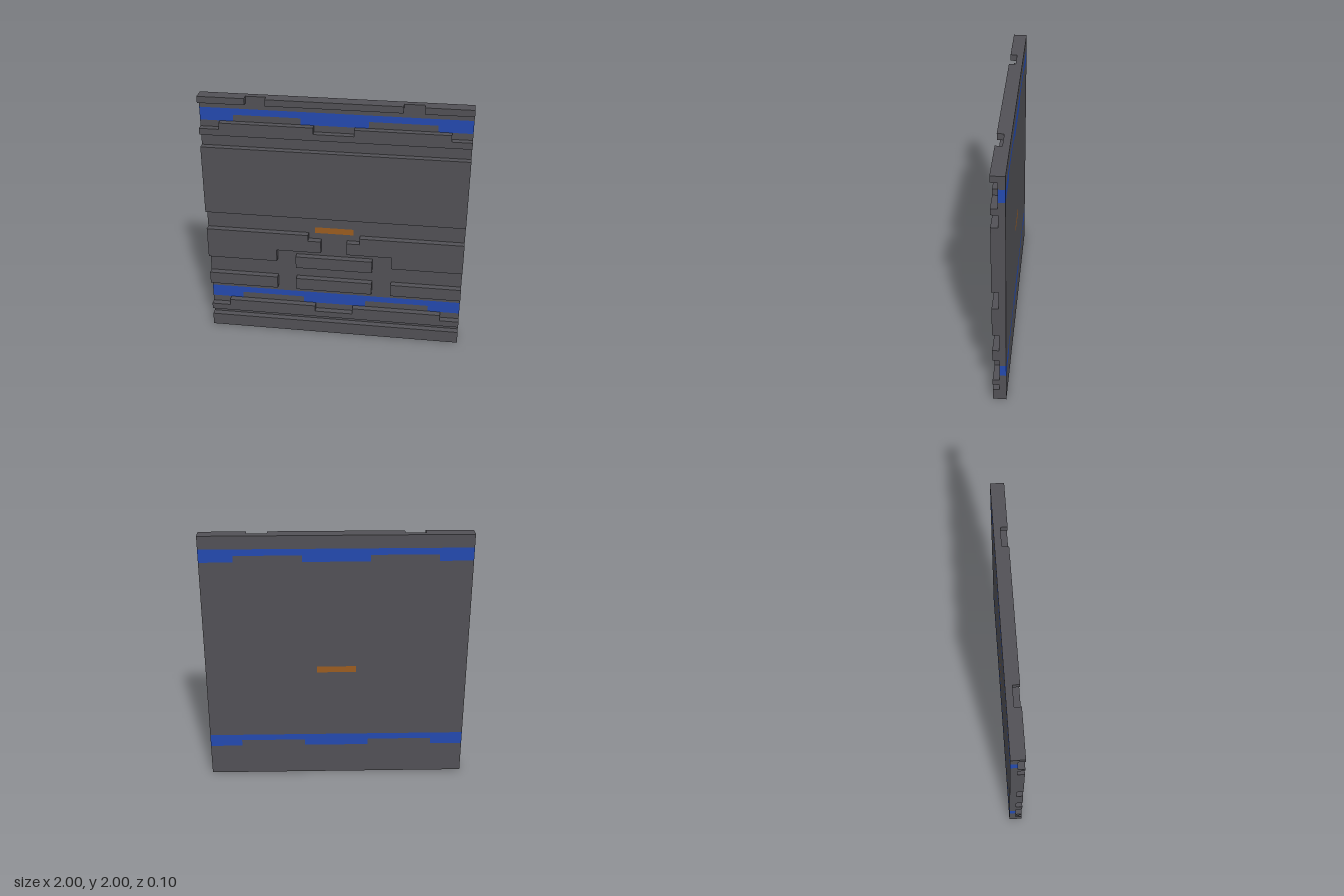
import * as THREE from 'three';

const D = 0.05; // thickness of the backing and of each raised layer

export function createModel() {
  const grey = new THREE.MeshStandardMaterial({ color: 0x525156 });
  grey.name = 'dark grey';
  const blue = new THREE.MeshStandardMaterial({ color: 0x244ab0 });
  blue.name = 'blue';
  const orange = new THREE.MeshStandardMaterial({ color: 0x9b5d20 });
  orange.name = 'orange';

  const panel = new THREE.Group();
  panel.name = 'wallPanel';

  const outline = (pts) => new THREE.Shape(pts.map(([x, y]) => new THREE.Vector2(x, y)));
  const rect = (x0, x1, y0, y1) => [[x0, y0], [x1, y0], [x1, y1], [x0, y1]];

  // Extrude an outline into a slab one layer thick, starting at depth z
  function slab(name, pts, z, material, hole) {
    const shape = outline(pts);
    if (hole) shape.holes.push(outline(hole));
    const geometry = new THREE.ExtrudeGeometry(shape, { depth: D, bevelEnabled: false });
    const mesh = new THREE.Mesh(geometry, material);
    mesh.name = name;
    mesh.position.z = z;
    panel.add(mesh);
  }
  const raised = (name, pts) => slab(name, pts, 0, grey);
  const backing = (name, pts, material, hole) => slab(name, pts, -D, material, hole);

  // Stepped edge from left to right: low at y, with two tabs reaching y + 0.05
  const tabbed = (y, inner, outer) => [
    [-1, y], [-outer, y], [-outer, y + 0.05], [-inner, y + 0.05], [-inner, y],
    [inner, y], [inner, y + 0.05], [outer, y + 0.05], [outer, y], [1, y],
  ];
  const between = (bottom, top) => [...bottom, ...[...top].reverse()];
  const level = (y) => [[-1, y], [1, y]];

  // Flush backing, split by colour, with the light set into its middle
  const light = rect(-0.15, 0.15, 0.9, 0.95);
  backing('backingBottom', between(level(0), tabbed(0.25, 0.25, 0.75)), grey);
  backing('backingMiddle', between(level(0.35), tabbed(1.8, 0.25, 0.75)), grey, light);
  backing('backingTop', between(level(1.9), level(2)), grey);
  for (const [name, y] of [['lowerBlueStripe', 0.25], ['upperBlueStripe', 1.8]]) {
    backing(name, between(tabbed(y, 0.25, 0.75), level(y + 0.1)), blue);
  }
  backing('orangeLight', light, orange);

  // Full-width raised bands
  raised('bottomBand', between(level(0), level(0.1)));
  raised('mainPlate', between(level(1.05), level(1.6)));
  raised('lowerSteppedRail', between(level(0.15), tabbed(0.2, 0.15, 0.85)));
  raised('upperSteppedRail', between(level(1.7), tabbed(1.75, 0.15, 0.85)));

  // Central bars
  raised('topRimCentre', rect(-0.5, 0.5, 1.95, 2));
  raised('upperCentreBar', rect(-0.3, 0.3, 0.6, 0.7));
  raised('lowerCentreBar', rect(-0.3, 0.3, 0.4, 0.5));

  // Mirrored side pieces
  const sidePieces = {
    TopRim: rect(0.65, 1, 1.95, 2),
    LowerBar: rect(0.45, 1, 0.4, 0.5),
    SteppedPlate: [
      [1, 0.9], [0.2, 0.9], [0.2, 0.85], [0.1, 0.85],
      [0.1, 0.75], [0.45, 0.75], [0.45, 0.65], [1, 0.65],
    ],
  };
  for (const [side, s] of [['left', 1], ['right', -1]]) {
    for (const [name, pts] of Object.entries(sidePieces)) {
      raised(side + name, pts.map(([x, y]) => [x * s, y]));
    }
  }

  return panel;
}
